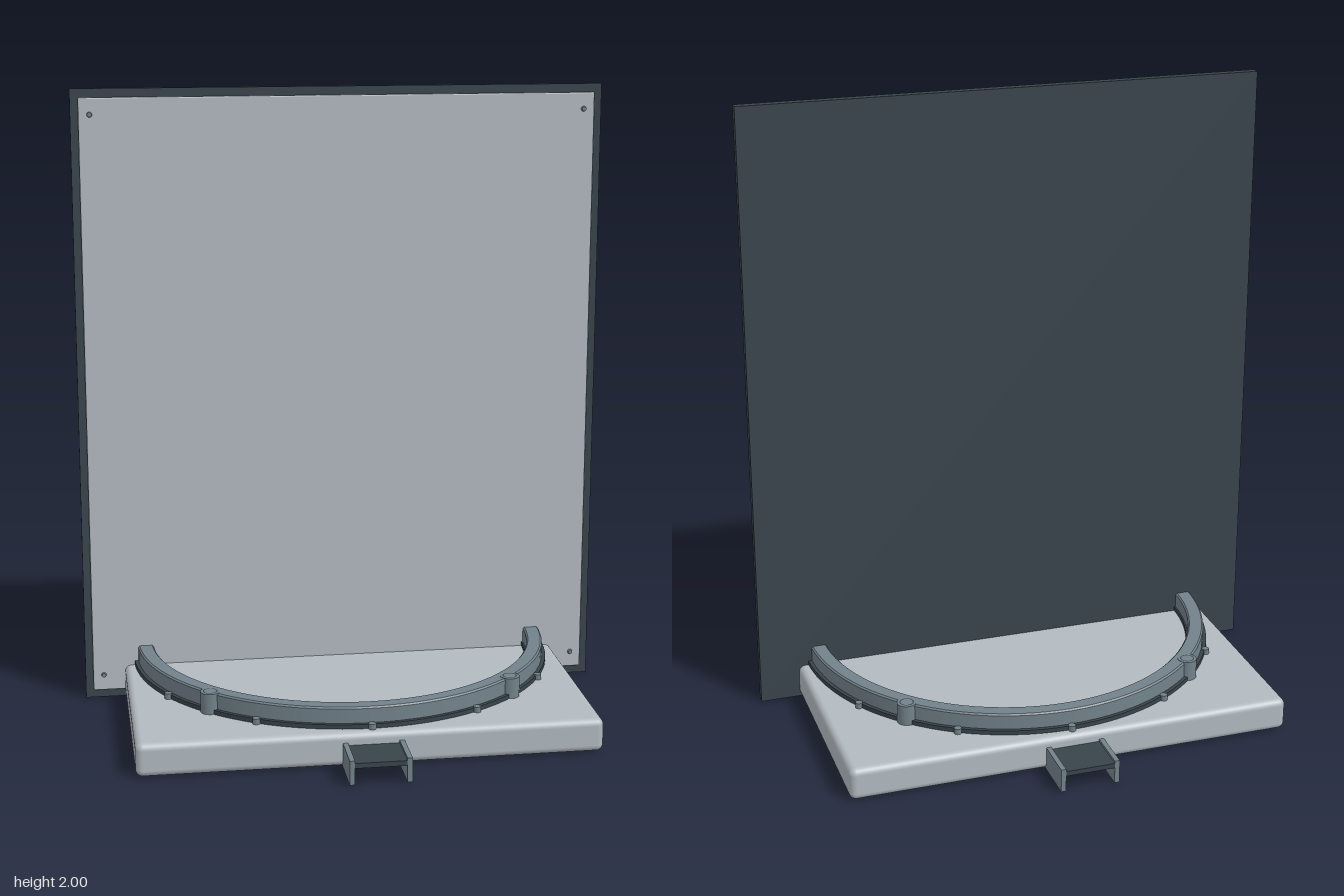
import * as THREE from 'three';
import { RoundedBoxGeometry } from 'three/addons/geometries/RoundedBoxGeometry.js';

const paint = (name, color) => {
  const m = new THREE.MeshStandardMaterial({ color });
  m.name = name;
  return m;
};

export function createModel() {
  const pale = paint('pale grey', 0xb2bac0);
  const steel = paint('blue steel', 0x72828b);
  const dark = paint('dark slate', 0x38444b);
  const model = new THREE.Group();

  const add = (name, geometry, material, x = 0, y = 0, z = 0, parent = model) => {
    const mesh = new THREE.Mesh(geometry, material);
    mesh.name = name;
    mesh.position.set(x, y, z);
    parent.add(mesh);
    return mesh;
  };
  const box = (w, h, d) => new THREE.BoxGeometry(w, h, d);

  // Square base slab with softened edges
  add('base', new RoundedBoxGeometry(1.44, 0.106, 1.44, 4, 0.022), pale, 0, 0.057, 0);

  // Upright panel: dark backing, pale face, corner screws
  const panel = new THREE.Group();
  panel.name = 'panel';
  model.add(panel);
  add('panelBacking', box(1.7, 2, 0.03), dark, 0, 1, -0.002, panel);
  add('panelFace', new RoundedBoxGeometry(1.65, 1.945, 0.012, 2, 0.004), pale, 0, 1, 0.018, panel);
  for (const x of [-0.79, 0.79]) for (const y of [0.08, 1.92]) {
    const screw = add('panelScrew', new THREE.CylinderGeometry(0.007, 0.009, 0.008, 16), steel, x, y, 0.027, panel);
    screw.rotation.x = Math.PI / 2;
  }

  // Closed ring profiles turned around y; each segment keeps its own flat normals
  const turned = (name, points, material, parent) => {
    for (let i = 0; i < points.length; i++) {
      const pair = [points[i], points[(i + 1) % points.length]].map(p => new THREE.Vector2(...p));
      add(name, new THREE.LatheGeometry(pair, 96), material, 0, 0, 0, parent);
    }
  };

  const ring = new THREE.Group();
  ring.name = 'ring';
  model.add(ring);
  turned('ringFlange', [[0.62, 0.105], [0.688, 0.105], [0.688, 0.124], [0.62, 0.124]], dark, ring);
  turned('ringWall', [[0.625, 0.12], [0.676, 0.12], [0.676, 0.17], [0.671, 0.175],
    [0.63, 0.175], [0.625, 0.17]], steel, ring);

  // Four bosses with a raised plug on the diagonals
  for (let i = 0; i < 4; i++) {
    const a = Math.PI / 4 + i * Math.PI / 2;
    const x = 0.672 * Math.cos(a), z = 0.672 * Math.sin(a);
    add('ringBoss', new THREE.CylinderGeometry(0.031, 0.031, 0.066, 32), steel, x, 0.143, z, ring);
    const groove = add('bossGroove', new THREE.RingGeometry(0.019, 0.023, 32), dark, x, 0.1765, z, ring);
    groove.rotation.x = -Math.PI / 2;
  }

  // Small bolts around the flange
  for (let i = 0; i < 12; i++) {
    const a = i * Math.PI / 6;
    add('flangeBolt', new THREE.CylinderGeometry(0.012, 0.012, 0.02, 16), steel,
      0.69 * Math.cos(a), 0.118, 0.69 * Math.sin(a), ring);
  }

  // Channel-shaped handles protruding at front and back
  for (const s of [1, -1]) {
    const handle = new THREE.Group();
    handle.name = s > 0 ? 'frontHandle' : 'backHandle';
    model.add(handle);
    const z = s * 0.775;
    for (const x of [-0.087, 0.087]) {
      add('handleRail', box(0.016, 0.076, 0.17), steel, x, 0.042, z, handle);
    }
    add('handlePlate', box(0.16, 0.016, 0.17), dark, 0, 0.064, z, handle);
  }

  return model;
}
